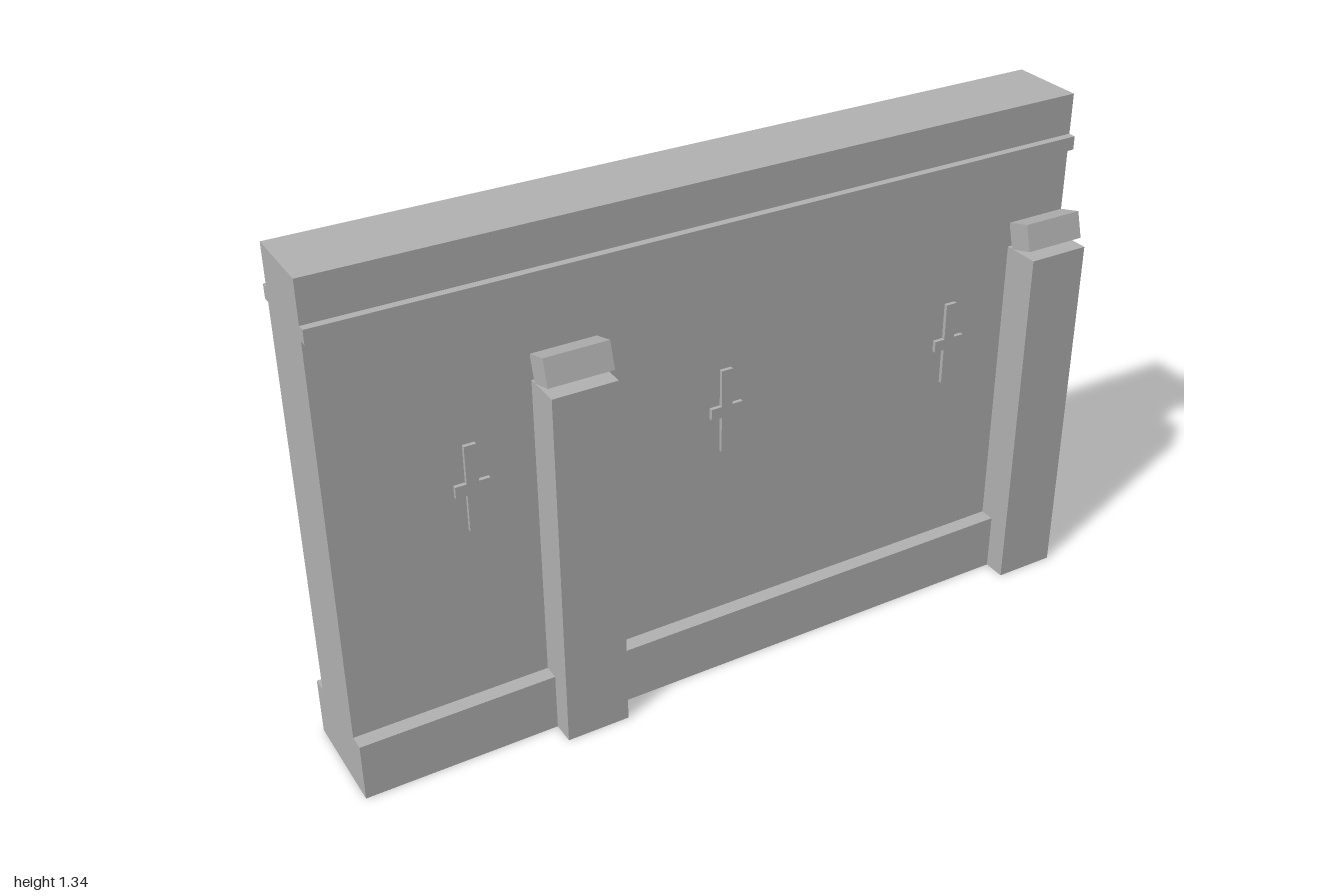
import * as THREE from 'three';

export function createModel() {
  const model = new THREE.Group();
  model.name = 'buttressedWall';
  const stone = new THREE.MeshStandardMaterial({ color: 0xb2b2b2 });
  stone.name = 'grey stone';

  // Box given by its centre and size
  function box(name, parent, [x, y, z], [w, h, d]) {
    const mesh = new THREE.Mesh(new THREE.BoxGeometry(w, h, d), stone);
    mesh.name = name;
    mesh.position.set(x, y, z);
    parent.add(mesh);
    return mesh;
  }

  // Main slab with its plinth and the string course near the top
  box('wallSlab', model, [0, 0.6675, 0], [2, 1.335, 0.2]);
  box('plinth', model, [0, 0.0775, 0], [2, 0.155, 0.28]);
  box('stringCourse', model, [0, 1.2125, 0], [2, 0.035, 0.24]);

  // Buttresses run through the wall, with a tilted cap stone on each face
  for (const x of [-0.4175, 0.9175]) {
    const buttress = new THREE.Group();
    buttress.name = 'buttress';
    buttress.position.x = x;
    model.add(buttress);
    box('buttressShaft', buttress, [0, 0.48, 0], [0.165, 0.96, 0.4]);
    for (const side of [1, -1]) {
      const cap = box('capStone', buttress, [0, 1.002, side * 0.14], [0.165, 0.069, 0.069]);
      cap.rotation.x = -side * 0.28;
    }
  }

  // Shallow raised crosses on both faces
  const cross = new THREE.Shape();
  const a = 0.015, arm = 0.043, up = 0.112;
  [[-a, -up], [a, -up], [a, -a], [arm, -a], [arm, a], [a, a],
    [a, up], [-a, up], [-a, a], [-arm, a], [-arm, -a], [-a, -a]]
    .forEach(([x, y], i) => (i ? cross.lineTo(x, y) : cross.moveTo(x, y)));
  cross.closePath();
  const crossGeometry = new THREE.ExtrudeGeometry(cross, { depth: 0.019, bevelEnabled: false });
  for (const side of [1, -1]) {
    for (const x of [-0.66, 0, 0.66]) {
      const mesh = new THREE.Mesh(crossGeometry, stone);
      mesh.name = 'wallCross';
      mesh.position.set(x, 0.735, side * 0.091);
      if (side < 0) mesh.rotation.y = Math.PI;
      model.add(mesh);
    }
  }

  return model;
}
